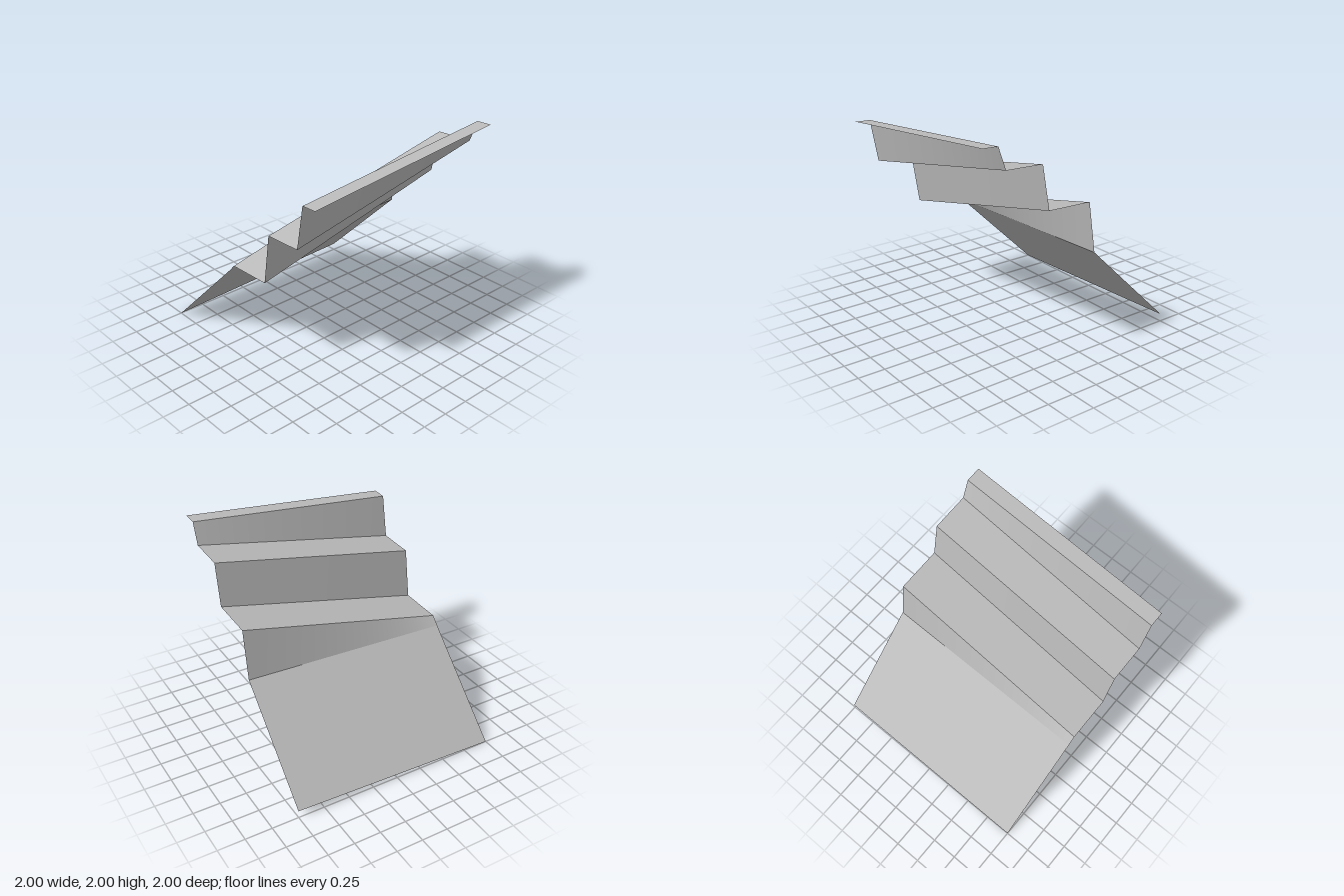
import * as THREE from 'three';

// Fold lines running along z: x position, height at the front edge, height at the back edge
const folds = [
  [-1, 0, 0.07],
  [-2 / 14, 0.83, 0.9],
  [-1 / 14, 0.905, 1.365],
  [5 / 14, 0.92, 1.38],
  [6 / 14, 1.385, 1.78],
  [11 / 14, 1.4, 1.795],
  [12 / 14, 1.8, 1.995],
  [1, 1.805, 2],
];
const names = [
  'lowerRamp', 'lowerRiser', 'lowerTread', 'middleRiser',
  'middleTread', 'upperRiser', 'topTread',
];

// Ruled strip between two neighbouring folds
function strip([x0, front0, back0], [x1, front1, back1]) {
  const geometry = new THREE.PlaneGeometry(2, 2, 1, 28);
  geometry.rotateX(-Math.PI / 2);
  const p = geometry.attributes.position;
  for (let i = 0; i < p.count; i++) {
    const z = p.getZ(i);
    const t = (1 - z) / 2; // 0 at the front, 1 at the back
    const first = p.getX(i) < 0;
    const y = first
      ? THREE.MathUtils.lerp(front0, back0, t)
      : THREE.MathUtils.lerp(front1, back1, t);
    p.setXYZ(i, first ? x0 : x1, y, z);
  }
  geometry.computeVertexNormals();
  return geometry;
}

export function createModel() {
  const model = new THREE.Group();
  model.name = 'foldedSheet';
  const grey = new THREE.MeshStandardMaterial({ color: 0xbbbbbb, side: THREE.DoubleSide });
  grey.name = 'light grey';

  // Ramp, then alternating risers and treads
  names.forEach((name, i) => {
    const mesh = new THREE.Mesh(strip(folds[i], folds[i + 1]), grey);
    mesh.name = name;
    model.add(mesh);
  });
  return model;
}
